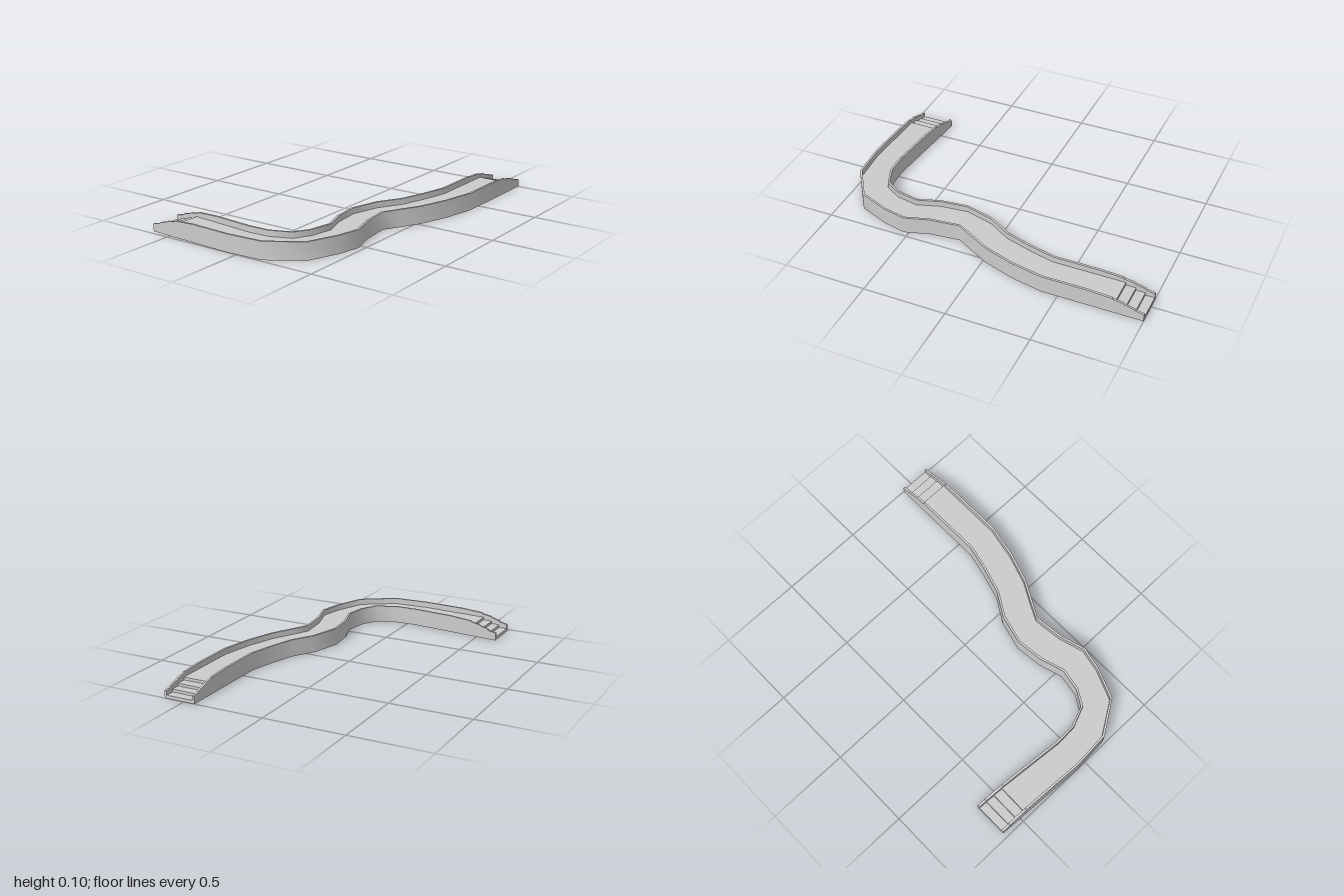
import * as THREE from 'three';
import { toCreasedNormals } from 'three/addons/utils/BufferGeometryUtils.js';

// Matching plan points [x, z] of the front and back edges, from the +x end to the -z end
const FRONT = [[1, 0.625], [0.4, 0.625], [0.2, 0.585], [0.02, 0.525], [-0.1, 0.46], [-0.2, 0.405], [-0.38, 0.425],
  [-0.53, 0.47], [-0.67, 0.44], [-0.855, 0.365], [-0.985, 0.165], [-1, -0.06], [-0.97, -0.63]];
const BACK = [[1, 0.43], [0.4, 0.43], [0.25, 0.395], [0.085, 0.345], [-0.055, 0.26], [-0.235, 0.212], [-0.4, 0.23],
  [-0.54, 0.275], [-0.675, 0.25], [-0.765, 0.195], [-0.81, 0.075], [-0.815, -0.05], [-0.76, -0.63]];

// Heights near each end: [distance from the end, height]
const STAIRS = [[0, 0.02], [0.053, 0.02], [0.053, 0.037], [0.107, 0.037], [0.107, 0.053], [0.165, 0.053], [0.165, 0.07]];
const PARAPET = [[0, 0.046], [0.05, 0.056], [0.055, 0.063], [0.11, 0.077], [0.115, 0.082], [0.175, 0.091], [0.18, 0.097], [0.32, 0.105]];
const END_LENGTH = 0.585;
const RIM = 0.07; // wall thickness as a share of the width

const mix = (a, b, t) => [a[0] + (b[0] - a[0]) * t, a[1] + (b[1] - a[1]) * t];

// Stations along the path, each with its front point, back point and height
function stations(profile) {
  const n = FRONT.length - 1;
  const top = profile[profile.length - 1][1];
  const end = (i, j) => profile.map(([d, h]) => ({
    f: mix(FRONT[i], FRONT[j], d / END_LENGTH), b: mix(BACK[i], BACK[j], d / END_LENGTH), h,
  }));
  const middle = FRONT.slice(1, n).map((f, i) => ({ f, b: BACK[i + 1], h: top }));
  return [...end(0, 1), ...middle, ...end(n, n - 1).reverse()];
}

// Solid strip between two shares of the width, standing on the ground
function strip(name, profile, from, to, material) {
  const rings = stations(profile).map(({ f, b, h }) => {
    const p = mix(f, b, from), q = mix(f, b, to);
    return [[p, 0], [p, h], [q, h], [q, 0]].map(([c, y]) => new THREE.Vector3(c[0], y, c[1]));
  });
  const pos = [];
  const tri = (a, b, c) => {
    if (new THREE.Triangle(a, b, c).getArea() > 1e-9) pos.push(...a, ...b, ...c);
  };
  const quad = (a, b, c, d) => { tri(a, b, c); tri(a, c, d); };
  for (let i = 0; i < rings.length - 1; i++) {
    const a = rings[i], b = rings[i + 1];
    for (let j = 0; j < 4; j++) {
      const k = (j + 1) % 4;
      quad(a[j], a[k], b[k], b[j]);
    }
  }
  quad(...rings[0].slice().reverse());
  quad(...rings[rings.length - 1]);
  const geometry = new THREE.BufferGeometry();
  geometry.setAttribute('position', new THREE.Float32BufferAttribute(pos, 3));
  const mesh = new THREE.Mesh(toCreasedNormals(geometry, 0.7), material);
  mesh.name = name;
  return mesh;
}

export function createModel() {
  const group = new THREE.Group();
  group.name = 'windingWalkway';
  const material = new THREE.MeshStandardMaterial({ color: 0xcccccc });
  // Raised deck with steps down at both ends
  group.add(strip('deckWithStairs', STAIRS, RIM, 1 - RIM, material));
  // Parapets on either side, lowering along the steps
  group.add(strip('frontParapet', PARAPET, 0, RIM, material));
  group.add(strip('backParapet', PARAPET, 1 - RIM, 1, material));
  return group;
}
